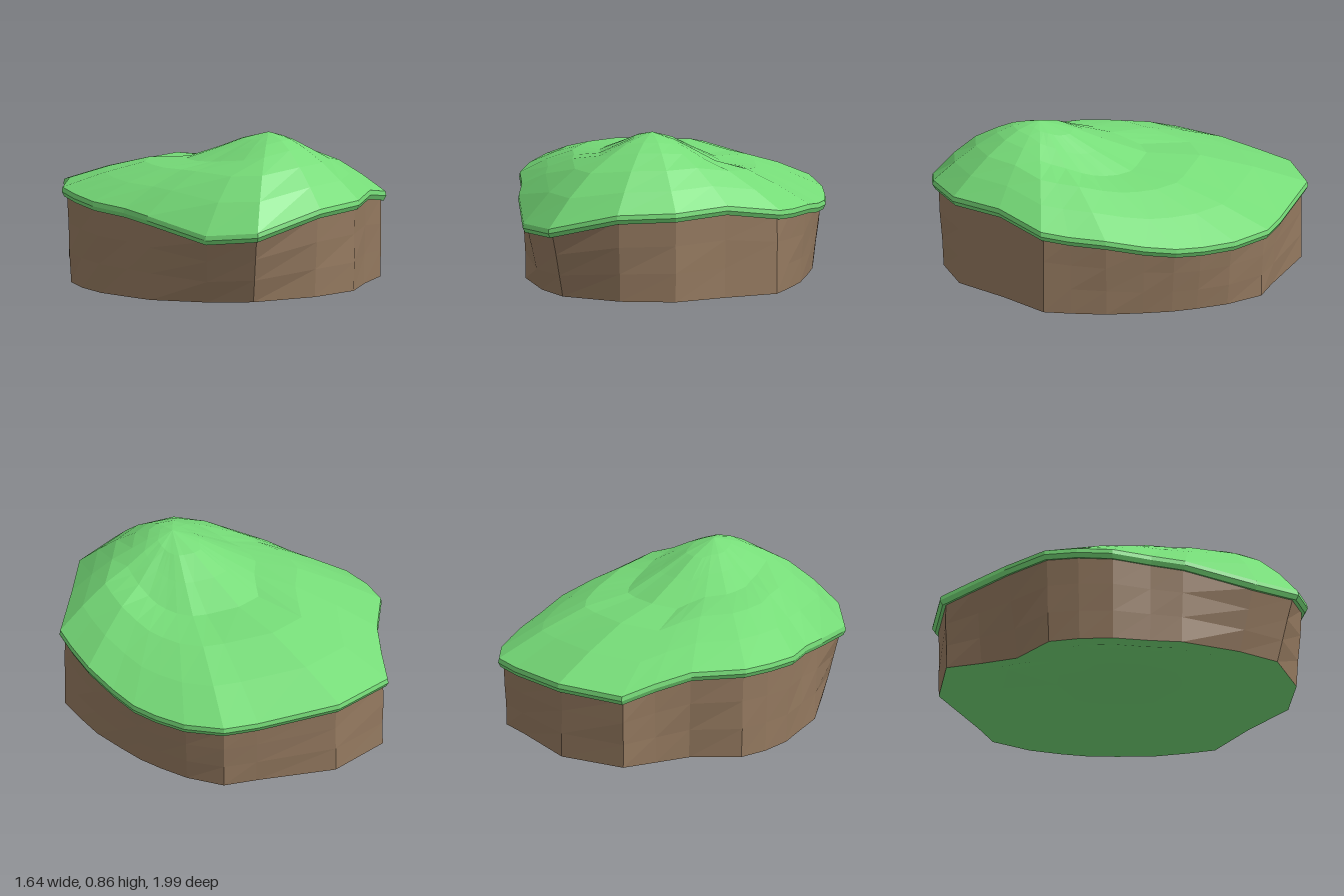
import * as THREE from 'three';

// Rim of the mound: x, z, height of the grass edge, plan scale of the wall foot
const RIM = [
  [-0.27, -0.98, 0.46, 0.965], [0.11, -1.0, 0.47, 0.965], [0.5, -0.78, 0.42, 0.94], [0.66, -0.68, 0.41, 0.95],
  [0.76, -0.48, 0.39, 0.93], [0.8, -0.3, 0.385, 0.92], [0.82, -0.15, 0.39, 0.915], [0.81, 0.02, 0.41, 0.92],
  [0.79, 0.23, 0.45, 0.93], [0.73, 0.42, 0.465, 0.95], [0.68, 0.56, 0.485, 0.965], [0.42, 0.74, 0.54, 0.955],
  [0.17, 0.94, 0.535, 0.96], [-0.14, 0.99, 0.525, 0.94], [-0.52, 0.92, 0.425, 0.88], [-0.69, 0.69, 0.4, 0.87],
  [-0.77, 0.3, 0.47, 0.95], [-0.78, 0.12, 0.49, 0.955], [-0.82, -0.09, 0.505, 0.935], [-0.79, -0.28, 0.52, 0.94],
  [-0.73, -0.45, 0.53, 0.94], [-0.51, -0.65, 0.535, 0.89], [-0.38, -0.82, 0.5, 0.93],
];
const PEAK = [-0.03, 0.43, 0.865];

// Distance from the peak, relative height on the back slope, on the front slope
const SLOPE = [
  [0, 1, 1], [0.13, 0.87, 0.96], [0.25, 0.69, 0.91], [0.4, 0.49, 0.79],
  [0.6, 0.43, 0.57], [0.8, 0.24, 0.3], [1, 0, 0],
];

// Closed rings of points, joined from the top or middle outward and down
function loft(name, rings, color) {
  const n = rings[0].length;
  const index = [];
  for (let i = 0; i < rings.length - 1; i++) {
    for (let j = 0; j < n; j++) {
      const k = (j + 1) % n;
      const a = i * n + j, b = i * n + k, c = a + n, d = b + n;
      index.push(a, b, d, a, d, c);
    }
  }
  const geometry = new THREE.BufferGeometry();
  geometry.setAttribute('position', new THREE.Float32BufferAttribute(rings.flat(2), 3));
  geometry.setIndex(index);
  geometry.computeVertexNormals();
  const mesh = new THREE.Mesh(geometry, new THREE.MeshStandardMaterial({ color, flatShading: true }));
  mesh.name = name;
  return mesh;
}

// Rim scaled in plan and lowered
const lipRing = (scale, drop) => RIM.map(([x, z, y]) => [x * scale, y - drop, z * scale]);

// The foot of the wall dips along both sides, a little more on the side at -x
const footY = (x, z) => 0.05 - (x < 0 ? 0.042 : 0.034) * (1 - Math.min(1, z * z));

export function createModel() {
  const group = new THREE.Group();
  group.name = 'grassyMound';
  const green = 0x76dc78, brown = 0x957a60;

  // Grass slopes spread from the peak: low second hump behind, fuller shoulder at -x
  const slopes = SLOPE.map(([t, back, front]) => RIM.map(([x, z, y]) => {
    const dx = x * 0.995 - PEAK[0], dz = z * 0.995 - PEAK[1];
    const r = Math.hypot(dx, dz);
    const side = Math.max(0, -dx / r) ** 2;
    const shoulder = 0.13 * side * t * Math.sin(Math.PI * t) * (1 + 0.8 * dz / r);
    const f = THREE.MathUtils.lerp(back, front, 0.5 + 0.5 * dz / r) + shoulder;
    return [PEAK[0] + dx * t, y + (PEAK[2] - y) * f, PEAK[1] + dz * t];
  }));
  group.add(loft('grassTop', slopes, green));

  // Overhanging lip of turf
  group.add(loft('grassLip', [
    lipRing(0.995, 0), lipRing(1, 0.025), lipRing(0.985, 0.05), lipRing(0.955, 0.045),
  ], green));

  // Earth wall, slightly uneven in the middle
  const wall = [0, 0.33, 0.66, 1].map((t, i) => RIM.map(([x, z, y, foot], j) => {
    const uneven = i % 3 ? 0.003 * Math.sin(j * 2.4 + i * 1.9) : 0;
    const s = THREE.MathUtils.lerp(0.967, foot, t) + uneven;
    return [x * s, THREE.MathUtils.lerp(y - 0.035, footY(x, z * foot), t), z * s];
  }));
  group.add(loft('earthWall', wall, brown));

  // Hollow underside: distance from the middle, share of the hollow's depth
  const hollow = [[1, 0], [0.85, 0.15], [0.65, 0.65], [0.35, 0.9], [0, 1]];
  const under = hollow.map(([t, h]) => RIM.map(([x, z, , foot]) => [
    x * foot * t, THREE.MathUtils.lerp(footY(x, z * foot), 0.105, h), z * foot * t,
  ]));
  group.add(loft('underside', under, green));
  return group;
}
